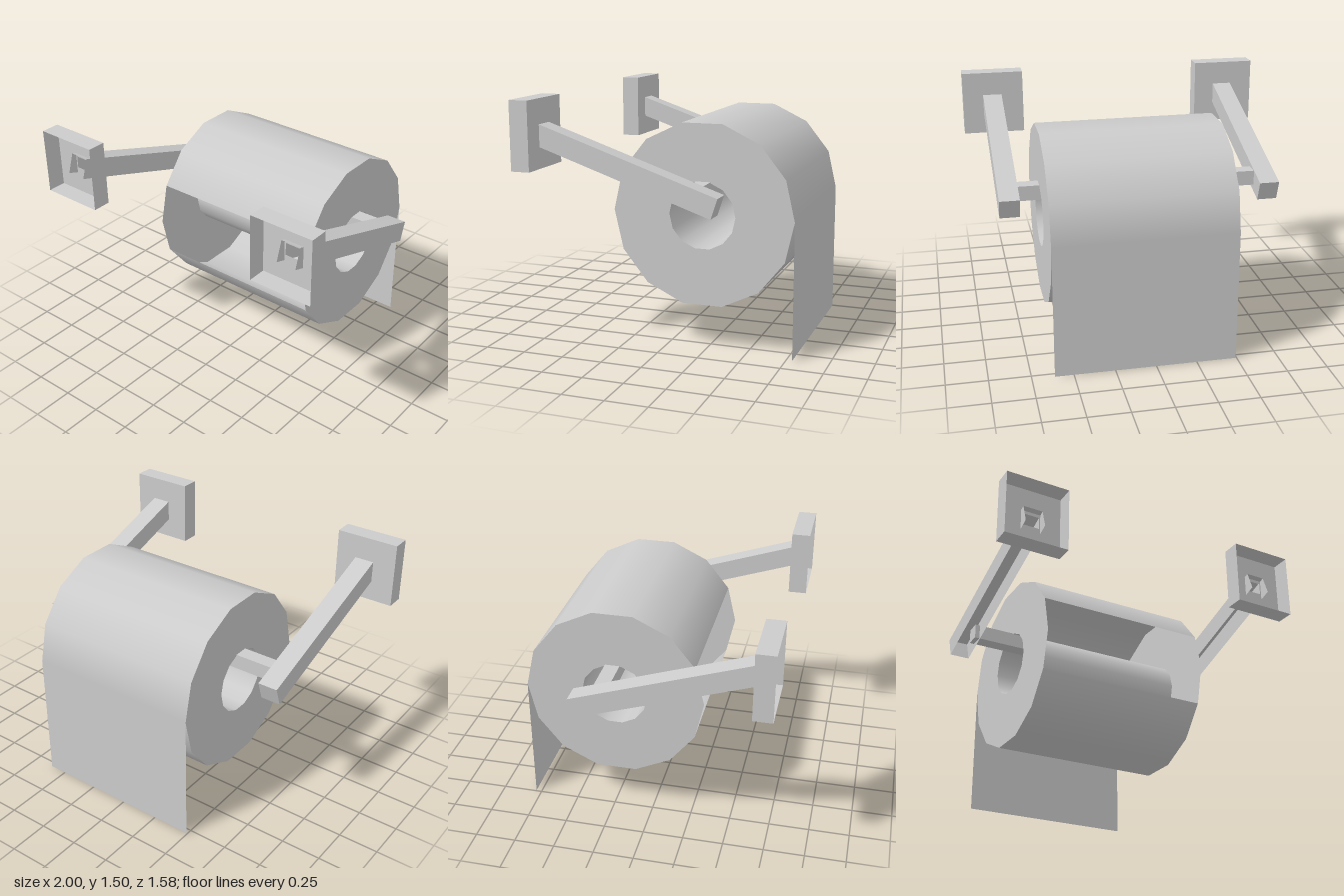
import * as THREE from 'three';

const material = new THREE.MeshStandardMaterial({ color: 0xcccccc, side: THREE.DoubleSide });

function addMesh(parent, name, geometry, x = 0, y = 0, z = 0) {
  const mesh = new THREE.Mesh(geometry, material);
  mesh.name = name;
  mesh.position.set(x, y, z);
  parent.add(mesh);
  return mesh;
}

// Box without the listed faces (0 +x, 1 -x, 2 +y, 3 -y, 4 +z, 5 -z)
function openBox(w, h, d, missing) {
  const box = new THREE.BoxGeometry(w, h, d);
  const index = Array.from(box.index.array);
  box.setIndex(index.filter((_, i) => !missing.includes(Math.floor(i / 6))));
  box.clearGroups();
  return box;
}

// Hollow wall plate with a slot, and the sloping channel arm behind it
function createBracket(name, plateX, armX) {
  const bracket = new THREE.Group();
  bracket.name = name;
  const plateY = 1.29;
  addMesh(bracket, 'plateRim', openBox(0.4, 0.41, 0.115, [4, 5]), plateX, plateY, 0.7325);

  const wall = new THREE.Shape();
  wall.moveTo(-0.2, -0.205).lineTo(0.2, -0.205).lineTo(0.2, 0.205).lineTo(-0.2, 0.205).closePath();
  const slotX = armX - plateX, slot = new THREE.Path();
  slot.moveTo(slotX - 0.054, -0.04).lineTo(slotX - 0.054, 0.035);
  slot.lineTo(slotX + 0.054, 0.035).lineTo(slotX + 0.054, -0.04).closePath();
  wall.holes.push(slot);
  addMesh(bracket, 'plateWall', new THREE.ShapeGeometry(wall), plateX, plateY, 0.675);

  // The channel is open below and at its plate end
  const arm = addMesh(bracket, 'arm', openBox(0.123, 0.126, 1.176, [3, 4]), armX, 1.108, 0.1675);
  arm.rotation.x = -0.3245;
  return bracket;
}

export function createModel() {
  const model = new THREE.Group();
  model.name = 'paperRollHolder';
  model.add(createBracket('rightBracket', -0.8, -0.792));
  model.add(createBracket('leftBracket', 0.8, 0.805));
  addMesh(model, 'rod', new THREE.BoxGeometry(1.56, 0.092, 0.09), 0.02, 0.975, -0.24);

  // Paper roll: a 14-sided shell missing its two front panels
  const roll = new THREE.Group();
  roll.name = 'paperRoll';
  roll.position.set(0.06, 0.82, -0.2325);
  model.add(roll);
  const width = 1.108, outer = 0.5535, inner = 0.203, sides = 14;
  const step = (Math.PI * 2) / sides;
  addMesh(roll, 'rollSurface', new THREE.CylinderGeometry(outer, outer, width, sides - 2, 1, true, step, step * (sides - 2)).rotateZ(Math.PI / 2));
  addMesh(roll, 'rollCore', new THREE.CylinderGeometry(inner, inner, width, sides, 1, true).rotateZ(Math.PI / 2));
  for (const side of [-1, 1]) {
    const ring = new THREE.RingGeometry(inner, outer, sides).rotateY((side * Math.PI) / 2);
    addMesh(roll, side > 0 ? 'leftRollEnd' : 'rightRollEnd', ring, (side * width) / 2);
  }

  // Loose sheet hanging straight down at the back
  addMesh(roll, 'hangingSheet', new THREE.PlaneGeometry(width, 0.82).rotateY(Math.PI), 0, -0.41, -outer);
  return model;
}
